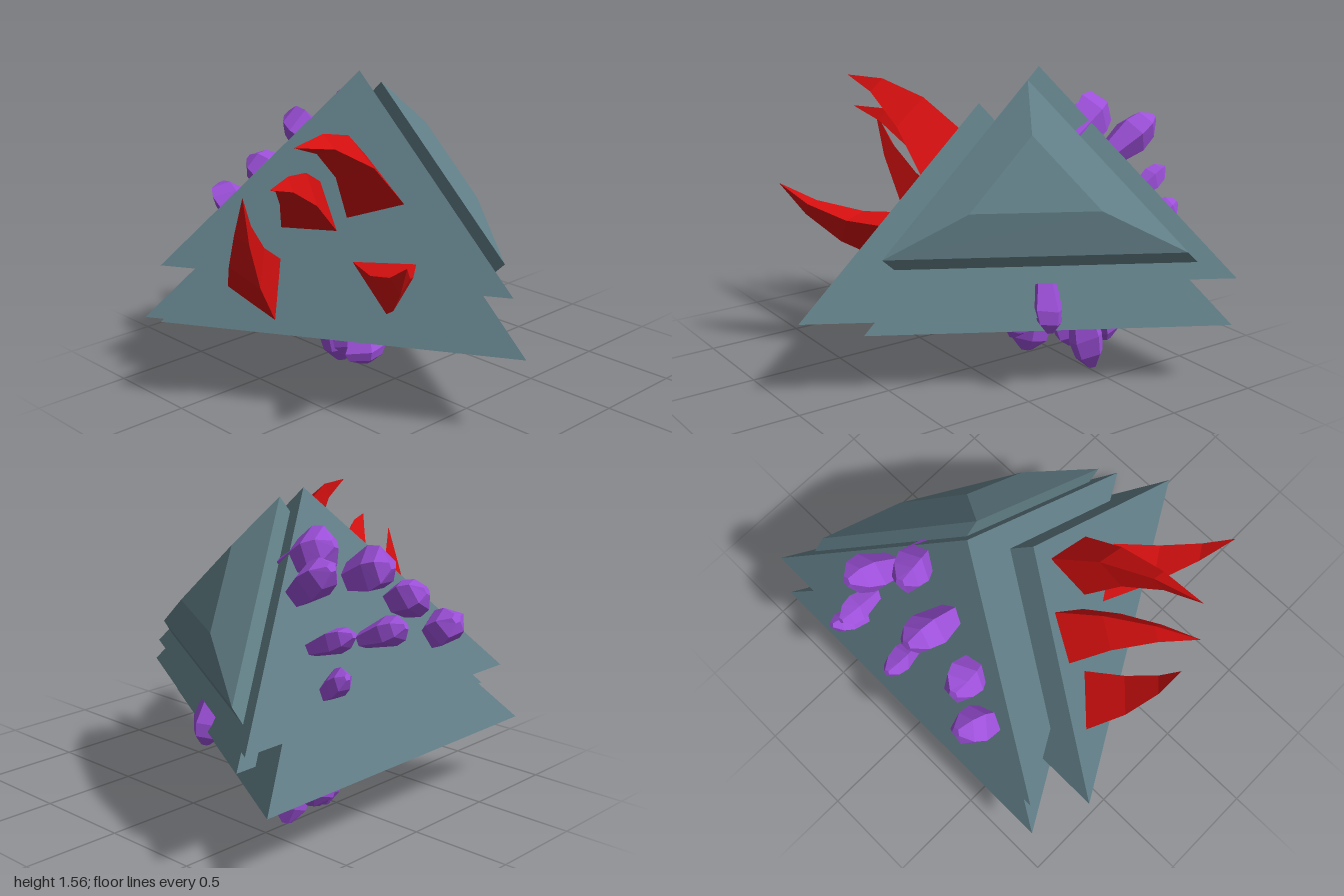
import * as THREE from 'three';

const V = (x, y, z) => new THREE.Vector3(x, y, z);
const paint = (color) => new THREE.MeshStandardMaterial({ color, flatShading: true });
const stone = paint(0x607d85), red = paint(0xd30f0f), violet = paint(0x9d50da);

// Skin a series of rings with equal point counts, closed at both ends
function loft(rings) {
  const first = rings[0], last = rings[rings.length - 1], n = first.length;
  const facing = V(0, 0, 0).crossVectors(first[1].clone().sub(first[0]), first[2].clone().sub(first[0]));
  const travel = last[0].clone().sub(first[0]).add(last[1]).sub(first[1]).add(last[2]).sub(first[2]);
  if (facing.dot(travel) < 0) rings = rings.map((r) => [...r].reverse());
  const points = [];
  for (let k = 0; k + 1 < rings.length; k++) {
    for (let i = 0; i < n; i++) {
      const j = (i + 1) % n, a = rings[k], b = rings[k + 1];
      points.push(a[i], a[j], b[j], a[i], b[j], b[i]);
    }
  }
  const start = rings[0], end = rings[rings.length - 1];
  for (let i = 1; i + 1 < n; i++) {
    points.push(start[0], start[i + 1], start[i], end[0], end[i], end[i + 1]);
  }
  const geometry = new THREE.BufferGeometry().setFromPoints(points);
  geometry.computeVertexNormals();
  return geometry;
}

// Curved three-sided horn shrinking from its base triangle to a point
function horn(base, bend, tip) {
  const corners = base.map((p) => V(...p));
  const centre = V(0, 0, 0);
  corners.forEach((p) => centre.addScaledVector(p, 1 / 3));
  const curve = new THREE.QuadraticBezierCurve3(centre, V(...bend), V(...tip));
  const rings = [0, 0.35, 0.7, 0.995].map((t) => {
    const c = curve.getPoint(t);
    return corners.map((p) => p.clone().sub(centre).multiplyScalar(1 - t).add(c));
  });
  return loft(rings);
}

// Faceted crystal: narrow root, wide shoulder, blunt slanted tip
function crystal(root, tip, radius, seed) {
  const axis = tip.clone().sub(root);
  const turn = new THREE.Quaternion().setFromUnitVectors(V(0, 1, 0), axis.clone().normalize());
  const rings = [[0, 0.5], [0.62, 1], [0.84, 0.82], [1, 0.25]].map(([t, s]) => {
    const ring = [];
    for (let i = 0; i < 5; i++) {
      const a = (i / 5) * Math.PI * 2 + seed * 1.3;
      const r = radius * s * (1 + 0.12 * Math.sin(seed * 5 + i * 2.4));
      const p = V(Math.cos(a) * r, 0.2 * s * r * Math.sin(a + seed), Math.sin(a) * r);
      ring.push(p.applyQuaternion(turn).add(root).addScaledVector(axis, t));
    }
    return ring;
  });
  return loft(rings);
}

export function createModel() {
  const model = new THREE.Group();
  const add = (name, geometry, material, parent = model) => {
    const mesh = new THREE.Mesh(geometry, material);
    mesh.name = name;
    parent.add(mesh);
    return mesh;
  };
  const group = (name) => {
    const g = new THREE.Group();
    g.name = name;
    model.add(g);
    return g;
  };

  // Three overlapping low pyramids, each with a corner toward +x
  const pyramid = new THREE.ConeGeometry(1.05, 0.95, 3).rotateY(Math.PI / 2).translate(0, 0.475, 0);
  const bodies = [
    ['upperPyramid', -0.345, 0.62, -0.09],
    ['frontPyramid', -0.11, 0.43, 0.09],
    ['lowerPyramid', -0.405, 0.34, -0.02],
  ];
  for (const [name, x, y, z] of bodies) add(name, pyramid, stone).position.set(x, y, z);

  // Raised triangular plate on the back face: rim, then sloped sides and a flat top
  const rim = [V(-0.24, 1.52, -0.14), V(0.604, 0.755, -0.14), V(-0.664, 0.755, -0.872)];
  const foot = rim.map((p) => p.clone().add(V(-0.074, -0.068, 0)));
  const top = [V(-0.12, 1.3, -0.34), V(0.243, 0.97, -0.34), V(-0.303, 0.97, -0.656)];
  add('backPlate', loft([foot, rim, top]), stone);

  // Horns on the front face: base corners, bend, tip
  const horns = group('horns');
  const hornSpecs = [
    [[[0.2, 1.03, 0.14], [0, 0.96, 0.33], [-0.055, 1.23, 0.15]], [0.15, 1.43, 0.45], [0.215, 1.44, 0.84]],
    [[[-0.2, 1.1, 0.32], [-0.29, 0.88, 0.5], [-0.04, 0.89, 0.36]], [-0.02, 1.22, 0.62], [0.14, 1.25, 0.92]],
    [[[-0.41, 0.61, 0.75], [-0.14, 0.49, 0.68], [-0.23, 0.75, 0.56]], [-0.1, 0.83, 0.89], [-0.015, 1.19, 0.95]],
    [[[0.09, 0.77, 0.38], [0.31, 0.56, 0.37], [0.35, 0.78, 0.21]], [0.53, 0.73, 0.53], [0.73, 0.97, 0.66]],
  ];
  hornSpecs.forEach(([base, bend, tip], i) => add('horn' + (i + 1), horn(base, bend, tip), red, horns));

  // Crystals growing out of the right side face: centre, radius, half length
  const sideCrystals = group('sideCrystals');
  const outward = V(-0.875, 0.484, 0);
  const sideSpecs = [
    [-0.55, 1.31, -0.25, 0.11, 0.13],
    [-0.68, 1.22, -0.39, 0.1, 0.17],
    [-0.69, 1.21, -0.01, 0.11, 0.15],
    [-0.71, 1.04, 0.24, 0.1, 0.12],
    [-0.81, 0.88, 0.4, 0.1, 0.13],
    [-0.84, 0.96, -0.07, 0.07, 0.12],
    [-0.82, 0.98, -0.4, 0.065, 0.12],
    [-0.87, 0.8, -0.44, 0.065, 0.11],
  ];
  sideSpecs.forEach(([x, y, z, r, half], i) => {
    const lean = outward.clone().add(V(0, 0.15 * Math.sin(i * 2), 0.25 * Math.cos(i * 2.3))).normalize();
    const c = V(x, y, z);
    const root = c.clone().addScaledVector(lean, -half - 0.04);
    const tip = c.clone().addScaledVector(lean, half);
    add('sideCrystal' + (i + 1), crystal(root, tip, r, i + 1), violet, sideCrystals);
  });

  // Crystals hanging below: root, tip, radius; the last hangs under the back ledge
  const hanging = group('hangingCrystals');
  const hangingSpecs = [
    [[0.06, 0.42, 0.27], [0.09, 0.22, 0.3], 0.11],
    [[-0.18, 0.42, 0.17], [-0.14, 0.17, 0.22], 0.08],
    [[-0.2, 0.42, -0.16], [-0.16, 0.19, -0.14], 0.075],
    [[-0.42, 0.42, 0.03], [-0.38, 0.01, 0.03], 0.115],
    [[-0.52, 0.42, -0.08], [-0.55, 0.06, -0.15], 0.1],
    [[-0.47, 0.42, -0.28], [-0.51, 0.02, -0.37], 0.1],
    [[-0.6, 0.42, -0.28], [-0.64, 0.13, -0.32], 0.11],
    [[-0.13, 0.66, -0.44], [-0.11, 0.35, -0.52], 0.085],
  ];
  hangingSpecs.forEach(([root, tip, r], i) => {
    add('hangingCrystal' + (i + 1), crystal(V(...root), V(...tip), r, i + 11), violet, hanging);
  });

  return model;
}
